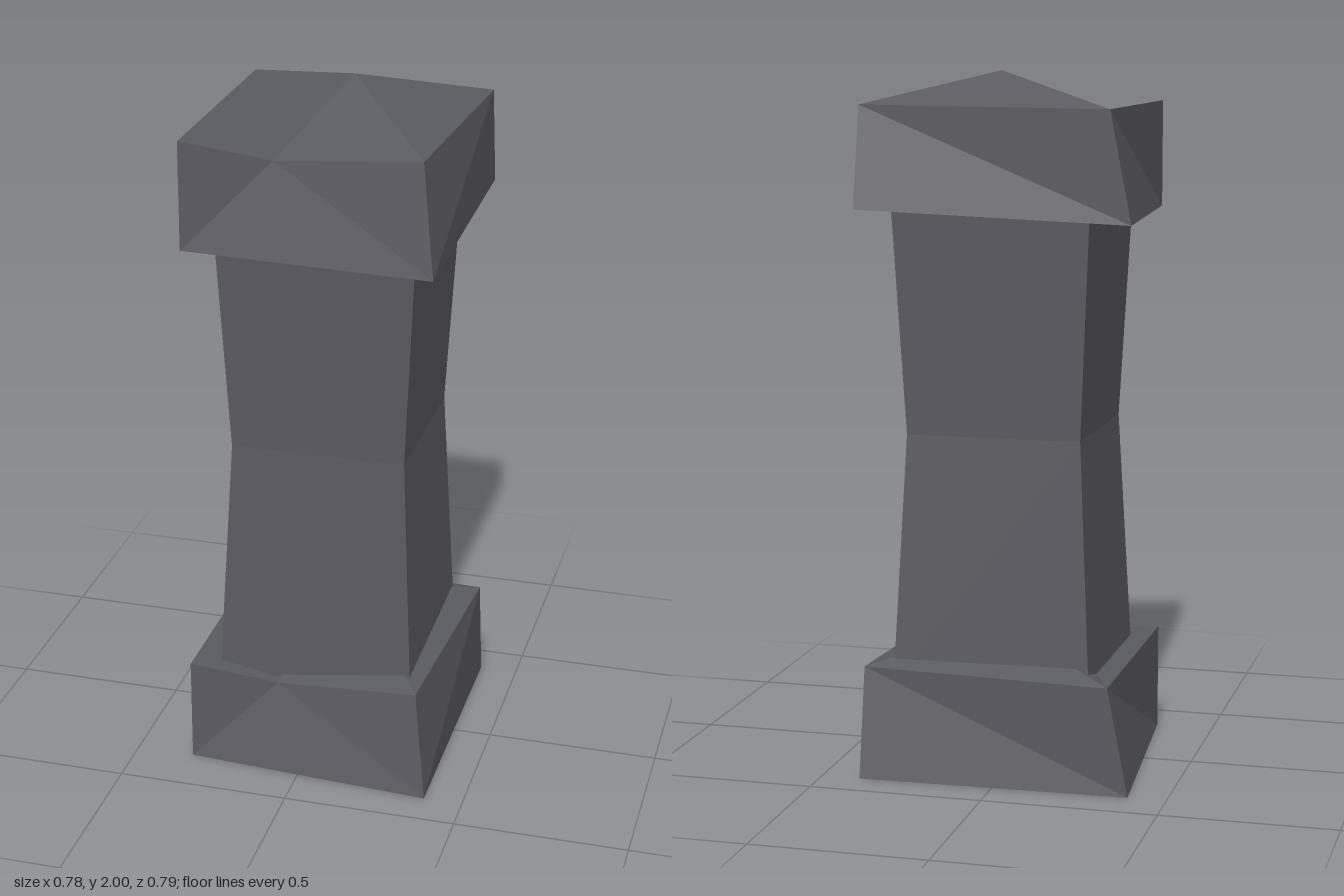
import * as THREE from 'three';

// Flat-faceted geometry from corner points and triangles
function facets(points, faces) {
  const g = new THREE.BufferGeometry();
  g.setAttribute('position', new THREE.Float32BufferAttribute(points.flat(), 3));
  g.setIndex(faces.flat());
  const flat = g.toNonIndexed();
  flat.computeVertexNormals();
  return flat;
}

// Uneven tapered block with a chipped front edge and an off-centre peak
function blockGeometry(raisedCorner) {
  const points = [
    // bottom corners: front -x, front +x, back +x, back -x
    [-0.33, 0, 0.345], [0.388, 0, 0.395], [0.388, raisedCorner, -0.395], [-0.39, 0, -0.375],
    // top corners, same order
    [-0.33, 0.31, 0.345], [0.347, 0.31, 0.347], [0.388, 0.315, -0.338], [-0.33, 0.31, -0.375],
    // chip in the front edge, then the peak
    [-0.075, 0.265, 0.306], [0.045, 0.405, -0.09],
  ];
  const faces = [
    [0, 1, 8], [0, 8, 4], [1, 5, 8],                       // front
    [1, 2, 6], [1, 6, 5],                                  // +x side
    [2, 3, 6], [3, 7, 6],                                  // back
    [3, 0, 7], [0, 4, 7],                                  // -x side
    [7, 4, 8], [7, 8, 9], [9, 8, 5], [9, 5, 6], [9, 6, 7], // peaked top
    [0, 3, 2], [0, 2, 1],                                  // underside
  ];
  return facets(points, faces);
}

// Square shaft, narrowed at its middle
function shaftGeometry() {
  const g = new THREE.BoxGeometry(1, 1, 1, 1, 2, 1);
  const p = g.attributes.position;
  for (let i = 0; i < p.count; i++) {
    const flare = Math.abs(p.getY(i)) * 2 * 0.036;
    p.setXYZ(i,
      0.0275 + Math.sign(p.getX(i)) * (0.252 + flare),
      0.98 + p.getY(i) * 1.46,
      -0.01 + Math.sign(p.getZ(i)) * (0.251 + flare));
  }
  const flat = g.toNonIndexed();
  flat.computeVertexNormals();
  return flat;
}

export function createModel() {
  const group = new THREE.Group();
  group.name = 'stonePillar';
  const stone = new THREE.MeshStandardMaterial({ color: 0x5a5a61 });
  stone.name = 'dark grey stone';

  const add = (name, geometry, y = 0) => {
    const mesh = new THREE.Mesh(geometry, stone);
    mesh.name = name;
    mesh.position.y = y;
    group.add(mesh);
  };

  add('base', blockGeometry(0));
  add('shaft', shaftGeometry());
  add('cap', blockGeometry(0.03), 1.595);
  return group;
}
